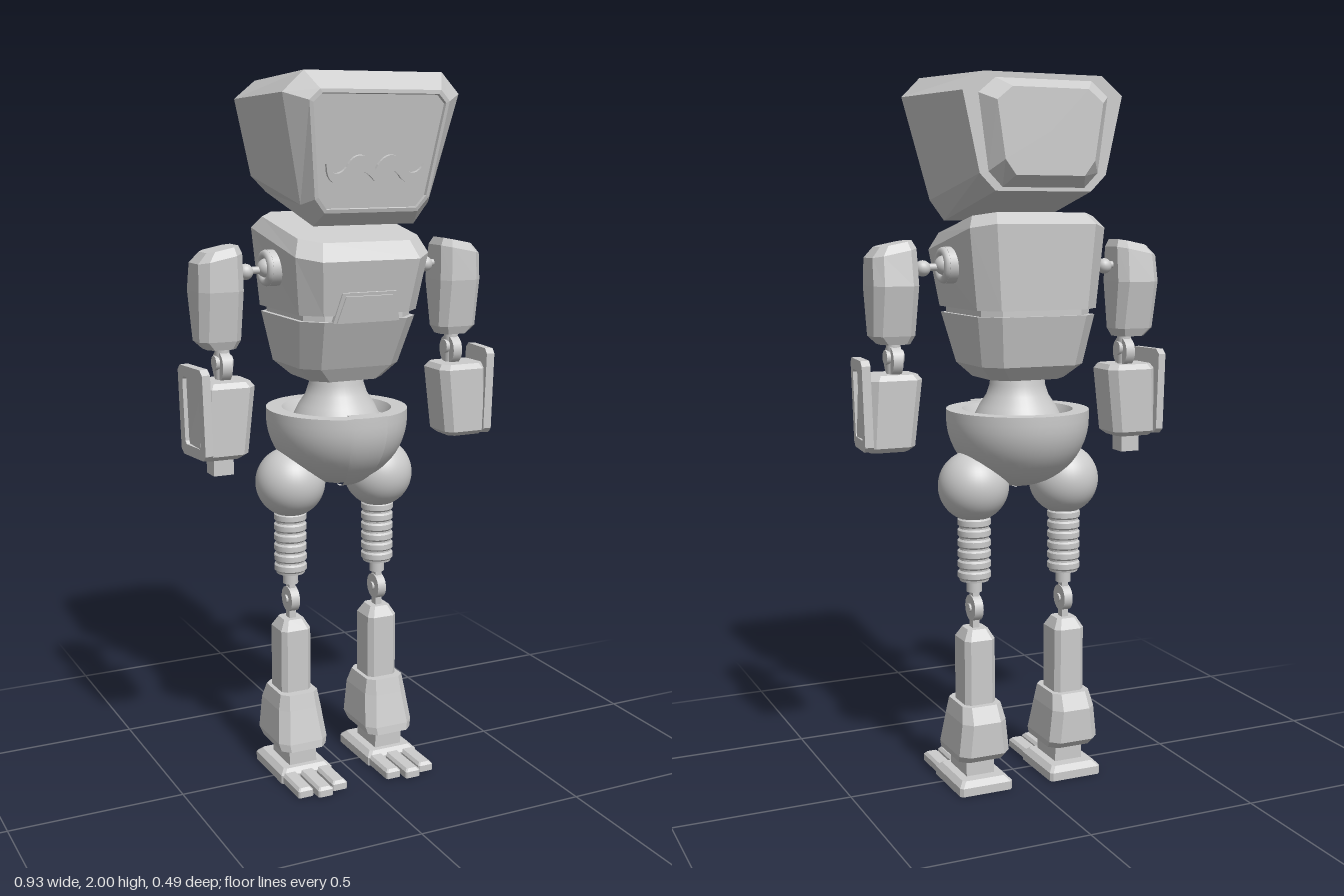
import * as THREE from 'three';
import { toCreasedNormals } from 'three/addons/utils/BufferGeometryUtils.js';

const grey = new THREE.MeshStandardMaterial({ color: 0xcccccc });
const greyThin = new THREE.MeshStandardMaterial({ color: 0xcccccc, side: THREE.DoubleSide });

function add(parent, name, geometry, x = 0, y = 0, z = 0, material = grey) {
  const mesh = new THREE.Mesh(geometry, material);
  mesh.name = name;
  mesh.position.set(x, y, z);
  parent.add(mesh);
  return mesh;
}

// Flat-faced solid through a list of rings with equal point counts, capped at both ends
function loft(rings) {
  const tris = [];
  const n = rings[0].length;
  const centre = r => r.reduce((s, p) => s.add(p), new THREE.Vector3()).divideScalar(n);
  const first = rings[0], last = rings[rings.length - 1];
  const c0 = centre(first), c1 = centre(last);
  for (let j = 0; j < n; j++) {
    const k = (j + 1) % n;
    for (let i = 0; i < rings.length - 1; i++) {
      const a = rings[i], b = rings[i + 1];
      tris.push([a[j], a[k], b[k]], [a[j], b[k], b[j]]);
    }
    tris.push([c0, first[k], first[j]], [c1, last[j], last[k]]);
  }
  // Turn the faces outward if the enclosed volume comes out negative
  const cross = new THREE.Vector3();
  const volume = tris.reduce((v, [a, b, c]) => v + a.dot(cross.crossVectors(b, c)), 0);
  if (volume < 0) tris.forEach(t => t.reverse());
  const geometry = new THREE.BufferGeometry().setFromPoints(tris.flat());
  geometry.computeVertexNormals();
  return geometry;
}

// Level rectangle with cut corners; tiltX and tiltZ lean it around its middle
function ring(y, x0, x1, z0, z1, c = 0.02, tiltX = 0, tiltZ = 0) {
  const xm = (x0 + x1) / 2;
  return [[x0 + c, z0], [x1 - c, z0], [x1, z0 + c], [x1, z1 - c], [x1 - c, z1], [x0 + c, z1], [x0, z1 - c], [x0, z0 + c]]
    .map(([x, z]) => new THREE.Vector3(x, y + tiltX * (x - xm) + tiltZ * z, z));
}

// Upright octagon given by its top, upper side, lower side and bottom corners
function octagon(z, lean, corners) {
  const right = corners.map(([x, y]) => new THREE.Vector3(x, y, z + lean * (y - corners[0][1])));
  const left = right.map(p => new THREE.Vector3(-p.x, p.y, p.z)).reverse();
  return [...right, ...left];
}

function lathe(points, segments = 40, start = 0, length = Math.PI * 2) {
  return toCreasedNormals(new THREE.LatheGeometry(points.map(p => new THREE.Vector2(...p)), segments, start, length), 0.6);
}

const axle = (r, length, sides = 24) => new THREE.CylinderGeometry(r, r, length, sides).rotateZ(Math.PI / 2);

function addHead(g) {
  add(g, 'head', loft([
    octagon(-0.243, 0, [[0.11, 1.945], [0.153, 1.91], [0.13, 1.76], [0.1, 1.72]]),
    octagon(-0.2, 0, [[0.14, 1.97], [0.188, 1.93], [0.16, 1.73], [0.12, 1.69]]),
    octagon(-0.2, 0, [[0.17, 1.985], [0.232, 1.935], [0.185, 1.725], [0.14, 1.68]]),
    octagon(0.198, 0.14, [[0.2, 2], [0.257, 1.945], [0.19, 1.66], [0.15, 1.603]]),
    octagon(0.243, 0.18, [[0.175, 1.953], [0.203, 1.925], [0.168, 1.675], [0.137, 1.638]]),
    octagon(0.243, 0.18, [[0.168, 1.943], [0.192, 1.92], [0.159, 1.68], [0.133, 1.648]]),
    octagon(0.234, 0.18, [[0.167, 1.941], [0.19, 1.919], [0.157, 1.681], [0.132, 1.65]]),
  ]));
  // Curled moustache lying on the leaning face
  const s = new THREE.Shape();
  s.moveTo(0, 0.0);
  s.bezierCurveTo(0.02, 0.045, 0.06, 0.05, 0.08, 0.015);
  s.bezierCurveTo(0.095, -0.015, 0.125, -0.02, 0.143, 0.015);
  s.bezierCurveTo(0.14, -0.05, 0.09, -0.045, 0.07, -0.015);
  s.bezierCurveTo(0.05, 0.005, 0.03, 0.0, 0, -0.03);
  s.bezierCurveTo(-0.03, 0.0, -0.05, 0.005, -0.07, -0.015);
  s.bezierCurveTo(-0.09, -0.045, -0.14, -0.05, -0.143, 0.015);
  s.bezierCurveTo(-0.125, -0.02, -0.095, -0.015, -0.08, 0.015);
  s.bezierCurveTo(-0.06, 0.05, -0.02, 0.045, 0, 0.0);
  const moustache = new THREE.ExtrudeGeometry(s, { depth: 0.013, bevelEnabled: false, curveSegments: 10 });
  add(g, 'moustache', moustache, 0, 1.752, 0.196).rotation.x = 0.178;
}

function addTorso(g) {
  add(g, 'upperTorso', loft([
    ring(1.365, -0.178, 0.178, -0.212, 0.16, 0.05),
    ring(1.55, -0.2, 0.2, -0.222, 0.193, 0.055, 0, -0.2),
    ring(1.59, -0.18, 0.18, -0.185, 0.16, 0.05, 0, -0.19),
  ]));
  add(g, 'torsoSeam', loft([
    ring(1.335, -0.162, 0.162, -0.196, 0.145, 0.045),
    ring(1.375, -0.162, 0.162, -0.196, 0.145, 0.045),
  ]));
  add(g, 'lowerTorso', loft([
    ring(1.17, -0.11, 0.11, -0.14, 0.075, 0.04),
    ring(1.21, -0.152, 0.152, -0.178, 0.098, 0.045),
    ring(1.348, -0.175, 0.175, -0.21, 0.158, 0.05),
  ]));
  // Raised step of the lower plate, with a ledge above it
  const tab = w => {
    const s = new THREE.Shape([[-0.09 - w, 0], [0.09 + w, 0], [0.07 + w, 0.075 + w], [-0.07 - w, 0.075 + w]].map(p => new THREE.Vector2(...p)));
    return new THREE.ExtrudeGeometry(s, { depth: 0.012, bevelEnabled: false });
  };
  add(g, 'chestTabEdge', tab(0.01), 0, 1.346, 0.148).rotation.x = 0.224;
  add(g, 'chestTab', tab(0), 0, 1.346, 0.152).rotation.x = 0.224;
}

function addPelvis(g) {
  add(g, 'waist', lathe([[0.075, 1.2], [0.078, 1.15], [0.088, 1.12], [0.108, 1.09], [0.13, 1.045]].reverse()), 0, 0, -0.03, greyThin);
  const bowl = grow => {
    const points = [];
    for (let i = 0; i <= 14; i++) {
      const a = i / 14 * Math.PI / 2;
      points.push([(0.2 + grow) * Math.sin(a), 1.055 - (0.195 + grow) * Math.cos(a)]);
    }
    return [...points, [0.2 + grow, 1.08 + grow / 2], [0.155, 1.08 + grow / 2], [0.14, 1.05], [0, 1.045]];
  };
  add(g, 'pelvisBowl', lathe(bowl(0), 48), 0, 0, -0.03).scale.z = 1.05;
  add(g, 'pelvisFrontPlate', lathe(bowl(0.008), 10, -0.27, 0.54), 0, 0, -0.03, greyThin).scale.z = 1.05;
}

function addArm(g, side) {
  const arm = new THREE.Group();
  arm.name = side > 0 ? 'leftArm' : 'rightArm';
  g.add(arm);
  const r = (y, x0, x1, z0, z1, c, tilt = 0) =>
    ring(y, Math.min(side * x0, side * x1), Math.max(side * x0, side * x1), z0, z1, c, side * tilt);

  // Shoulder socket, ball and pin
  add(arm, 'shoulderDisc', axle(0.05, 0.03), side * 0.2, 1.483, -0.02);
  add(arm, 'shoulderRing', new THREE.TorusGeometry(0.038, 0.012, 10, 28).rotateY(Math.PI / 2), side * 0.217, 1.483, -0.02);
  add(arm, 'shoulderDome', new THREE.SphereGeometry(0.027, 20, 14), side * 0.215, 1.483, -0.02);
  add(arm, 'shoulderBall', new THREE.SphereGeometry(0.022, 20, 14), side * 0.278, 1.475, -0.02);
  add(arm, 'shoulderPin', axle(0.01, 0.11), side * 0.265, 1.478, -0.02);

  add(arm, 'upperArm', loft([
    r(1.272, 0.32, 0.402, -0.048, 0.025, 0.015),
    r(1.295, 0.307, 0.427, -0.058, 0.034, 0.02),
    r(1.43, 0.303, 0.432, -0.085, 0.053, 0.024),
    r(1.517, 0.305, 0.43, -0.072, 0.05, 0.024, -0.2),
    r(1.542, 0.315, 0.405, -0.055, 0.04, 0.018, -0.2),
  ]));

  // Elbow
  add(arm, 'elbowDisc', axle(0.042, 0.028), side * 0.357, 1.225, 0);
  add(arm, 'elbowHub', axle(0.02, 0.05), side * 0.357, 1.235, 0);
  add(arm, 'elbowRod', new THREE.CylinderGeometry(0.02, 0.02, 0.13, 16), side * 0.357, 1.23, 0);

  add(arm, 'forearm', loft([
    r(0.978, 0.325, 0.435, -0.035, 0.06, 0.015),
    r(0.992, 0.308, 0.447, -0.05, 0.078, 0.02),
    r(1.175, 0.287, 0.44, -0.055, 0.08, 0.022),
    r(1.19, 0.298, 0.43, -0.045, 0.07, 0.02),
  ]));

  // Outer guard with a window
  const outline = (w, h, c) => [[-w + c, -h], [w - c, -h], [w, -h + c], [w, h - c], [w - c, h], [-w + c, h], [-w, h - c], [-w, -h + c]]
    .map(p => new THREE.Vector2(...p));
  const frame = new THREE.Shape(outline(0.073, 0.124, 0.014));
  frame.holes.push(new THREE.Path(outline(0.047, 0.094, 0.008)));
  const guard = new THREE.ExtrudeGeometry(frame, { depth: 0.024, bevelEnabled: false }).translate(0, 0, -0.012).rotateY(Math.PI / 2);
  add(arm, 'forearmGuard', guard, side * 0.443, 1.108, 0.017).rotation.set(0, -side * 0.11, side * -0.03);
  const back = add(arm, 'guardPanel', new THREE.BoxGeometry(0.012, 0.225, 0.13), side * 0.437, 1.108, 0.017);
  back.rotation.set(0, -side * 0.11, side * -0.03);

  // Only the right arm carries the small wrist stub
  if (side < 0) add(arm, 'wristStub', new THREE.BoxGeometry(0.058, 0.06, 0.055), -0.373, 0.96, 0.012);
}

function addLeg(g, side) {
  const leg = new THREE.Group();
  leg.name = side > 0 ? 'leftLeg' : 'rightLeg';
  leg.position.x = side * 0.14;
  g.add(leg);
  const z = -0.045;

  add(leg, 'hipBall', new THREE.SphereGeometry(0.1, 40, 28), 0, 0.87, -0.042);

  // Ribbed thigh
  const profile = [[0, 0.6], [0.041, 0.6]];
  for (let i = 0; i < 6; i++) {
    const y = 0.606 + i * 0.03;
    profile.push([0.042, y], [0.047, y + 0.005], [0.047, y + 0.02], [0.042, y + 0.025]);
  }
  profile.push([0.042, 0.81]);
  add(leg, 'thigh', lathe(profile, 28), 0, 0, z);

  // Knee hinge
  add(leg, 'kneeUpperRod', new THREE.CylinderGeometry(0.022, 0.022, 0.035, 20), 0, 0.585, z);
  add(leg, 'kneeFork', new THREE.BoxGeometry(0.02, 0.12, 0.026), 0, 0.515, z);
  add(leg, 'kneeDisc', axle(0.037, 0.026), 0, 0.52, z);
  add(leg, 'kneePin', axle(0.012, 0.038, 16), 0, 0.52, z);

  add(leg, 'shin', loft([
    ring(0.22, -0.046, 0.046, -0.097, 0.003, 0.014),
    ring(0.435, -0.046, 0.046, -0.097, 0.003, 0.014),
    ring(0.464, -0.03, 0.03, -0.078, -0.015, 0.01),
  ]));
  add(leg, 'bootCuff', loft([
    ring(0.09, -0.07, 0.07, -0.115, 0.063, 0.022),
    ring(0.112, -0.076, 0.076, -0.138, 0.06, 0.025),
    ring(0.205, -0.066, 0.066, -0.138, 0.038, 0.025),
    ring(0.25, -0.058, 0.058, -0.115, 0.028, 0.02),
  ]));
  add(leg, 'ankle', new THREE.BoxGeometry(0.085, 0.08, 0.12), 0, 0.06, -0.025);
  add(leg, 'footPlate', loft([
    ring(0, -0.08, 0.08, -0.135, 0.068, 0.008),
    ring(0.024, -0.08, 0.08, -0.135, 0.068, 0.008),
    ring(0.039, -0.066, 0.066, -0.118, 0.052, 0.008),
  ]));
  // Three separate toes
  for (const i of [-1, 0, 1]) {
    const length = i === 0 ? 0.145 : 0.125;
    add(leg, 'toe', loft([
      ring(0.003, i * 0.053 - 0.023, i * 0.053 + 0.023, 0.05, 0.05 + length, 0.004),
      ring(0.022, i * 0.053 - 0.023, i * 0.053 + 0.023, 0.05, 0.05 + length, 0.004),
      ring(0.03, i * 0.053 - 0.016, i * 0.053 + 0.016, 0.05, 0.042 + length, 0.004),
    ]));
  }
}

export function createModel() {
  const model = new THREE.Group();
  model.name = 'robot';
  addHead(model);
  addTorso(model);
  addPelvis(model);
  for (const side of [1, -1]) {
    addArm(model, side);
    addLeg(model, side);
  }
  return model;
}
